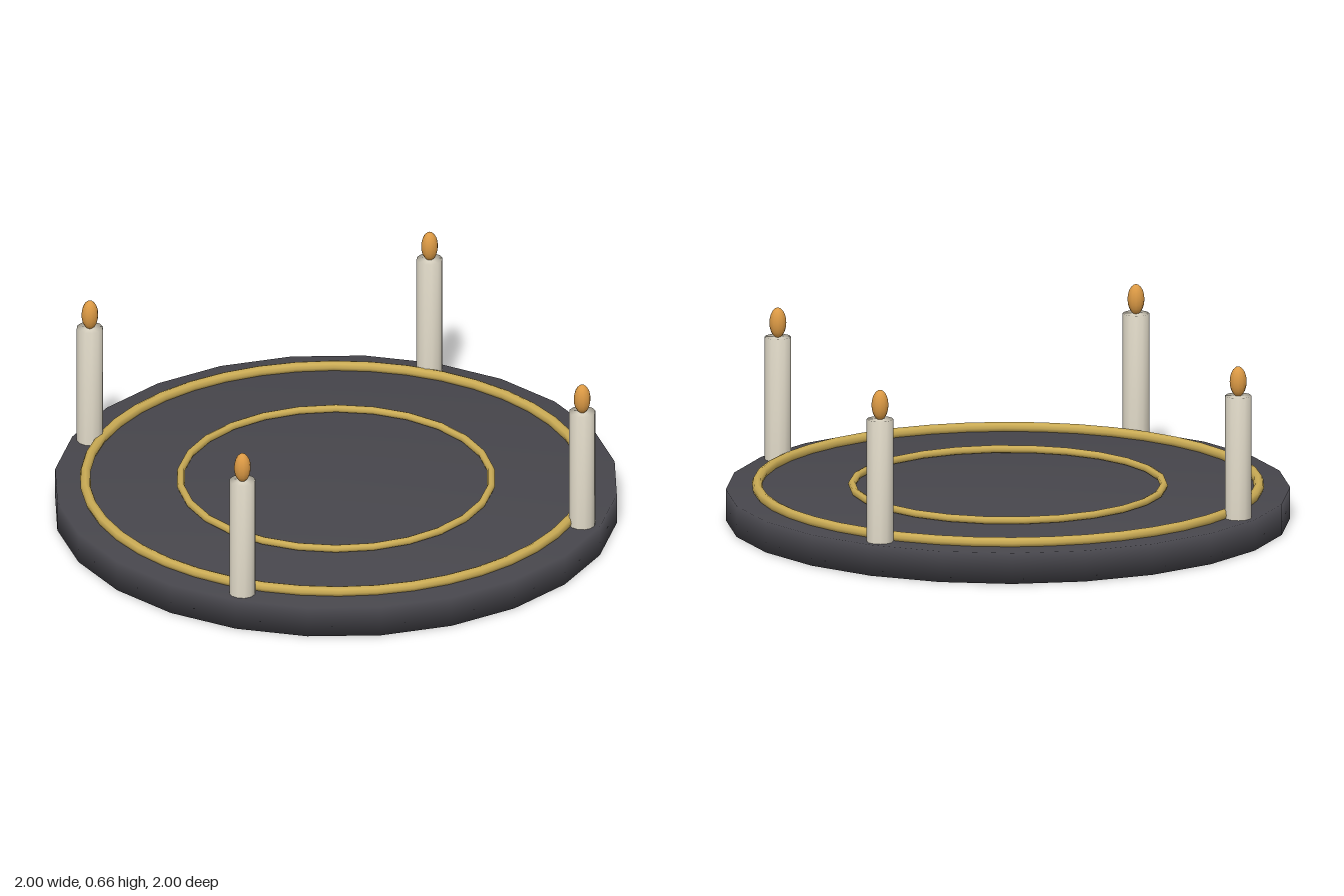
import * as THREE from 'three';
import { mergeVertices } from 'three/addons/utils/BufferGeometryUtils.js';

const paint = (color) => new THREE.MeshStandardMaterial({ color });

// Weld the seams so that shading flows over the rims
function smooth(geometry) {
  geometry.deleteAttribute('uv');
  geometry.deleteAttribute('normal');
  const welded = mergeVertices(geometry, 1e-4);
  welded.computeVertexNormals();
  return welded;
}

function addPart(parent, name, geometry, material, y) {
  const mesh = new THREE.Mesh(geometry, material);
  mesh.name = name;
  mesh.position.y = y;
  parent.add(mesh);
  return mesh;
}

export function createModel() {
  const model = new THREE.Group();
  model.name = 'candlePlatform';
  const stone = paint(0x47464c);
  const gold = paint(0xcbac55);
  const wax = paint(0xe6dfcd);
  const fire = paint(0xdc9a45);

  // Round base
  const thickness = 0.112;
  addPart(model, 'base', smooth(new THREE.CylinderGeometry(1, 1, thickness, 24)), stone, thickness / 2);

  // Inlaid gold rings: radius, tube, segments
  const rings = [
    ['outerRing', 0.89, 0.0187, 42],
    ['innerRing', 0.553, 0.014, 26],
  ];
  for (const [name, radius, tube, segments] of rings) {
    const ring = new THREE.TorusGeometry(radius, tube, 8, segments).rotateX(Math.PI / 2);
    addPart(model, name, ring, gold, 0.125);
  }

  // Four candles around the rim
  const candleHeight = 0.445;
  const waxGeometry = smooth(new THREE.CylinderGeometry(0.047, 0.047, candleHeight, 12));
  const flameGeometry = new THREE.SphereGeometry(0.03, 12, 10).scale(1, 1.83, 1);
  for (let i = 0; i < 4; i++) {
    const angle = (i * Math.PI) / 2;
    const candle = new THREE.Group();
    candle.name = 'candle';
    candle.position.set(0.933 * Math.cos(angle), thickness, 0.933 * Math.sin(angle));
    addPart(candle, 'candleStick', waxGeometry, wax, candleHeight / 2);
    addPart(candle, 'flame', flameGeometry, fire, candleHeight + 0.051);
    model.add(candle);
  }
  return model;
}
